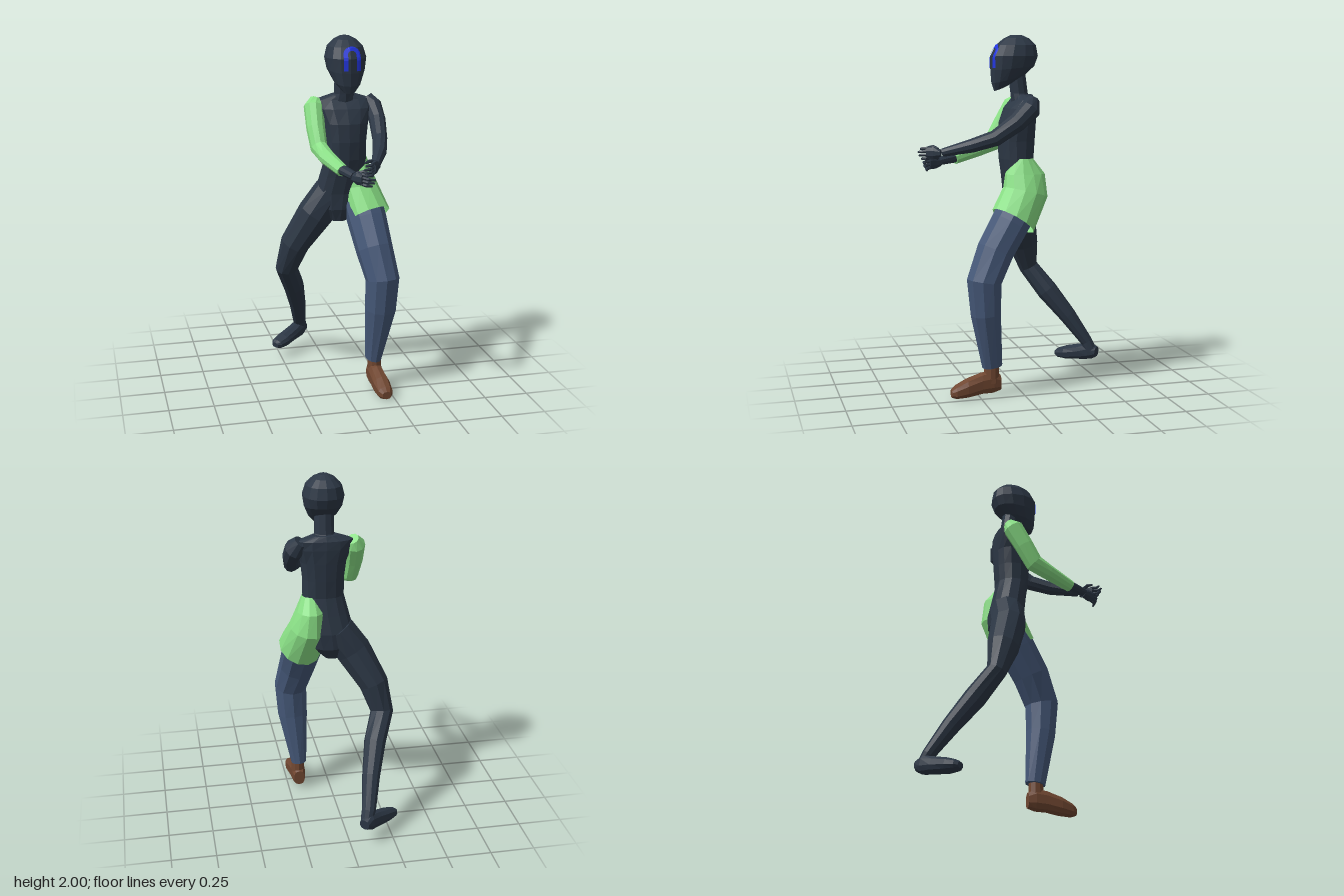
import * as THREE from 'three';

const V = (a) => new THREE.Vector3(...a);
const mat = (name, color) => {
  const m = new THREE.MeshStandardMaterial({ color });
  m.name = name;
  return m;
};

// Ring: [x, y, z, radiusU, radiusV, optional axis]. Rings without an axis face along the path.
function loft(name, material, rings, { sides = 10, ref = [1, 0, 0], power = 1, axis = null, cap = true } = {}) {
  const pos = [], idx = [], n = rings.length;
  const centres = rings.map((r) => V(r.slice(0, 3)));
  rings.forEach((r, i) => {
    const t = r[5] ? V(r[5]) : axis ? V(axis)
      : centres[Math.min(i + 1, n - 1)].clone().sub(centres[Math.max(i - 1, 0)]);
    t.normalize();
    const u = V(ref);
    u.addScaledVector(t, -u.dot(t)).normalize();
    const v = t.clone().cross(u);
    for (let j = 0; j < sides; j++) {
      const a = ((j + 0.5) / sides) * Math.PI * 2, c = Math.cos(a), s = Math.sin(a);
      const p = centres[i].clone()
        .addScaledVector(u, r[3] * Math.sign(c) * Math.abs(c) ** power)
        .addScaledVector(v, r[4] * Math.sign(s) * Math.abs(s) ** power);
      pos.push(p.x, p.y, p.z);
    }
  });
  for (let i = 0; i < n - 1; i++) for (let j = 0; j < sides; j++) {
    const k = (j + 1) % sides, a = i * sides, b = a + sides;
    idx.push(a + j, a + k, b + k, a + j, b + k, b + j);
  }
  if (cap) {
    const e = (n - 1) * sides;
    for (let j = 1; j < sides - 1; j++) idx.push(0, j + 1, j, e, e + j, e + j + 1);
  }
  return facet(name, material, pos, idx);
}

// Flat-faceted mesh from points and triangles
function facet(name, material, pos, idx) {
  let g = new THREE.BufferGeometry();
  g.setAttribute('position', new THREE.Float32BufferAttribute(pos, 3));
  g.setIndex(idx);
  g = g.toNonIndexed();
  g.computeVertexNormals();
  const mesh = new THREE.Mesh(g, material);
  mesh.name = name;
  return mesh;
}

export function createModel() {
  const suit = mat('dark suit', 0x2c3745);
  const green = mat('green cloth', 0x8ae086);
  const denim = mat('denim', 0x455878);
  const leather = mat('brown leather', 0x704731);
  const blue = mat('blue mark', 0x2236e0);
  green.side = THREE.DoubleSide;
  const model = new THREE.Group();
  model.name = 'figure';
  const add = (...args) => {
    const m = loft(...args);
    model.add(m);
    return m;
  };

  // Head, chin tilted forward and down
  const head = add('head', suit, [
    [0.055, 1.71, 0.085, 0.035, 0.042, [0, 1, 0.4]],
    [0.055, 1.76, 0.045, 0.076, 0.096, [0, 1, 0.25]],
    [0.055, 1.82, 0.02, 0.102, 0.124, [0, 1, 0.1]],
    [0.055, 1.885, 0.01, 0.113, 0.133],
    [0.055, 1.945, 0.0, 0.097, 0.112],
    [0.055, 1.982, -0.003, 0.06, 0.07],
    [0.055, 2.0, -0.003, 0.025, 0.03],
  ], { sides: 14, axis: [0, 1, 0], power: 0.88 });

  // Arch mark, a ribbon laid on the face
  const ray = new THREE.Raycaster(), path = [];
  head.updateMatrixWorld();
  for (let i = 0; i <= 6; i++) path.push([-1, 0, 1.82 + i * 0.0145]);
  for (let i = 1; i < 10; i++) {
    const a = Math.PI * (1 - i / 10);
    path.push([Math.cos(a), Math.sin(a), 1.907]);
  }
  for (let i = 6; i >= 0; i--) path.push([1, 0, 1.82 + i * 0.0145]);
  const pos = [], idx = [];
  path.forEach(([c, s, y], i) => {
    for (let k = 0; k < 4; k++) {
      const r = 0.024 + k * 0.008, px = 0.064 + c * r, py = y + s * r * 0.9;
      ray.set(V([px, py, 1]), V([0, 0, -1]));
      const hit = ray.intersectObject(head)[0];
      pos.push(px, py, (hit ? hit.point.z : 0.12) + 0.004);
      if (i && k) {
        const b = i * 4 + k, a = b - 4;
        idx.push(a - 1, b - 1, b, a - 1, b, a);
      }
    }
  });
  blue.side = THREE.DoubleSide;
  model.add(facet('faceMark', blue, pos, idx));

  // Neck and torso
  add('neck', suit, [
    [0.055, 1.63, -0.035, 0.075, 0.06],
    [0.055, 1.68, -0.02, 0.055, 0.05],
    [0.055, 1.79, -0.005, 0.055, 0.05],
  ], { axis: [0, 1, 0] });
  add('torso', suit, [
    [0.02, 0.96, -0.03, 0.05, 0.07],
    [0.025, 1.03, -0.04, 0.115, 0.1],
    [0.035, 1.12, -0.04, 0.14, 0.1],
    [0.052, 1.22, -0.02, 0.132, 0.095],
    [0.06, 1.32, 0, 0.115, 0.093],
    [0.06, 1.42, 0, 0.116, 0.1],
    [0.06, 1.52, -0.007, 0.128, 0.098],
    [0.057, 1.6, -0.025, 0.155, 0.082],
    [0.055, 1.648, -0.045, 0.155, 0.058],
    [0.055, 1.675, -0.043, 0.07, 0.045],
  ], { sides: 14, axis: [0, 1, 0], power: 0.85 });

  // Cloth over the left hip and upper thigh
  add('hipCloth', green, [
    [0.135, 1.325, -0.02, 0.048, 0.055, [0, -1, 0]],
    [0.138, 1.24, -0.03, 0.08, 0.112, [0, -1, 0]],
    [0.148, 1.14, -0.03, 0.108, 0.127, [0.1, -1, 0.25]],
    [0.185, 0.985, 0.052, 0.125, 0.13, [0.22, -0.83, 0.55]],
  ], { sides: 12, cap: false });

  // Left leg, denim, with boot
  add('leftTrouserLeg', denim, [
    [0.155, 1.06, 0.01, 0.112, 0.112],
    [0.17, 0.97, 0.065, 0.112, 0.112],
    [0.19, 0.82, 0.155, 0.104, 0.108],
    [0.22, 0.66, 0.225, 0.095, 0.1],
    [0.212, 0.48, 0.215, 0.088, 0.086],
    [0.185, 0.17, 0.172, 0.046, 0.058],
  ]);
  add('leftAnkle', leather, [
    [0.19, 0.22, 0.178, 0.036, 0.04],
    [0.19, 0.08, 0.178, 0.042, 0.046],
  ]);
  add('leftBoot', leather, [
    [0.188, 0.075, 0.128, 0.033, 0.045],
    [0.188, 0.082, 0.17, 0.042, 0.066],
    [0.19, 0.077, 0.235, 0.044, 0.062],
    [0.194, 0.057, 0.32, 0.049, 0.053],
    [0.198, 0.04, 0.385, 0.042, 0.037],
    [0.2, 0.034, 0.41, 0.025, 0.022],
  ], { axis: [0, 0, 1], power: 0.8 });

  // Right leg, stretched back, with tiptoe foot
  add('rightLeg', suit, [
    [-0.01, 1.12, -0.045, 0.1, 0.1],
    [-0.1, 0.99, -0.06, 0.104, 0.1],
    [-0.21, 0.8, -0.12, 0.084, 0.09],
    [-0.25, 0.64, -0.165, 0.066, 0.056],
    [-0.19, 0.5, -0.265, 0.062, 0.062],
    [-0.145, 0.35, -0.38, 0.051, 0.05],
    [-0.11, 0.19, -0.49, 0.04, 0.035],
    [-0.095, 0.14, -0.51, 0.035, 0.035],
  ]);
  add('rightFoot', suit, [
    [-0.075, 0.13, -0.54, 0.03, 0.03],
    [-0.105, 0.133, -0.51, 0.042, 0.052],
    [-0.16, 0.118, -0.465, 0.043, 0.046],
    [-0.23, 0.1, -0.405, 0.046, 0.038],
    [-0.275, 0.09, -0.37, 0.038, 0.027],
    [-0.29, 0.088, -0.358, 0.022, 0.016],
  ], { power: 0.85 });

  // Arms
  add('rightSleeve', green, [
    [-0.095, 1.645, -0.055, 0.035, 0.035],
    [-0.113, 1.61, -0.035, 0.056, 0.06],
    [-0.117, 1.5, 0.03, 0.052, 0.056],
    [-0.112, 1.4, 0.09, 0.047, 0.055],
    [-0.09, 1.365, 0.18, 0.046, 0.043],
    [-0.038, 1.318, 0.332, 0.036, 0.033],
  ]);
  add('rightForearm', suit, [
    [-0.045, 1.325, 0.31, 0.031, 0.029],
    [0.0, 1.308, 0.43, 0.025, 0.023],
  ]);
  add('leftArm', suit, [
    [0.19, 1.645, -0.055, 0.04, 0.04],
    [0.222, 1.6, -0.035, 0.055, 0.06],
    [0.233, 1.53, 0.04, 0.046, 0.052],
    [0.215, 1.445, 0.16, 0.041, 0.045],
    [0.18, 1.405, 0.28, 0.039, 0.038],
    [0.115, 1.365, 0.43, 0.025, 0.023],
  ]);

  // Hands: palm, four curled fingers and a thumb; dir points inward
  const hand = (side, x, y, z, dir) => {
    const opt = { sides: 6, ref: [0, 1, 0] };
    add(side + 'Palm', suit, [
      [x, y, z, 0.022, 0.024],
      [x + dir * 0.015, y, z + 0.035, 0.036, 0.02],
      [x + dir * 0.035, y, z + 0.07, 0.034, 0.015],
    ], { sides: 8, ref: [0, 1, 0] });
    for (let i = 0; i < 4; i++) {
      const fy = y + 0.027 - i * 0.018, reach = 1 - Math.abs(i - 1.3) * 0.1;
      add(side + 'Finger', suit, [
        [x + dir * 0.033, fy, z + 0.065, 0.009, 0.01],
        [x + dir * 0.058 * reach, fy - 0.003, z + 0.105 * reach, 0.009, 0.009],
        [x + dir * 0.095 * reach, fy - 0.008, z + 0.108 * reach, 0.006, 0.006],
      ], opt);
    }
    add(side + 'Thumb', suit, [
      [x + dir * 0.01, y + 0.02, z + 0.015, 0.011, 0.011],
      [x + dir * 0.045, y + 0.034, z + 0.035, 0.01, 0.01],
      [x + dir * 0.075, y + 0.028, z + 0.055, 0.006, 0.006],
    ], opt);
  };
  hand('right', -0.002, 1.302, 0.42, 1);
  hand('left', 0.115, 1.362, 0.44, -1);

  return model;
}
